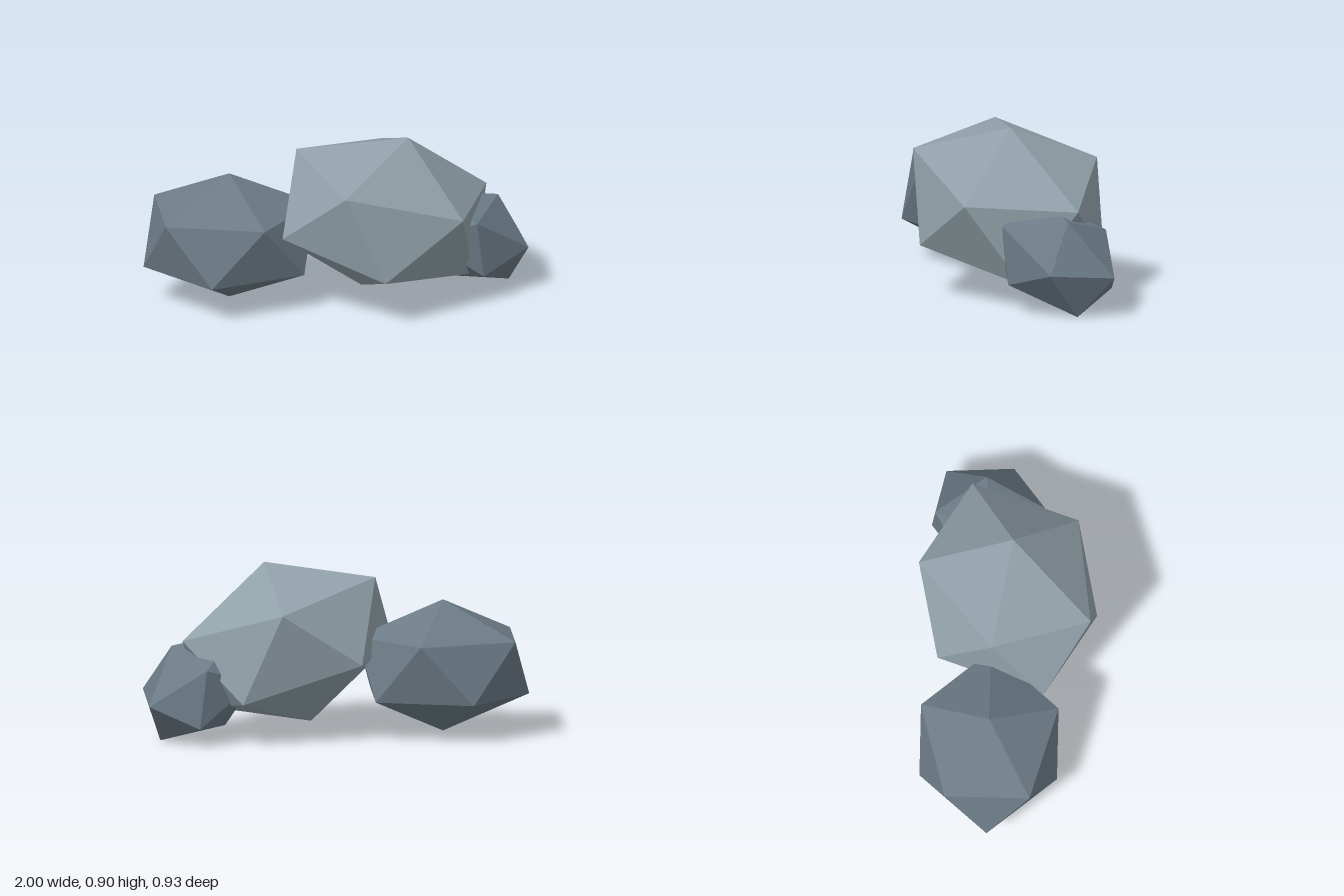
import * as THREE from 'three';

// A low-poly rock: an icosahedron stretched and turned so that its first
// face lands on the corners a, b, c (given relative to the rock's centre).
function rock(name, color, center, a, b, c) {
  const geometry = new THREE.IcosahedronGeometry(1, 0);
  const pos = geometry.attributes.position;
  const corner = (i) => new THREE.Vector3().fromBufferAttribute(pos, i);
  const from = new THREE.Matrix4().makeBasis(corner(0), corner(1), corner(2));
  const to = new THREE.Matrix4().makeBasis(
    new THREE.Vector3(...a), new THREE.Vector3(...b), new THREE.Vector3(...c));
  geometry.applyMatrix4(to.multiply(from.invert()));
  geometry.computeVertexNormals();

  const mesh = new THREE.Mesh(geometry, new THREE.MeshStandardMaterial({ color, flatShading: true }));
  mesh.name = name;
  mesh.position.set(...center);
  return mesh;
}

export function createModel() {
  const group = new THREE.Group();
  group.name = 'rockCluster';

  // Large tilted boulder in the middle
  group.add(rock('mainBoulder', 0x90a0a8, [0.25, 0.485, 0],
    [0.12, 0.415, 0.025], [-0.45, 0.345, -0.07], [-0.26, 0.255, 0.435]));

  // Medium upright rock on the right
  group.add(rock('rightRock', 0x6c7b86, [-0.55, 0.365, -0.075],
    [0, 0.345, 0], [-0.362, 0.154, 0.22], [0.138, 0.154, 0.356]));

  // Small rock leaning on the left
  group.add(rock('leftRock', 0x6c7b86, [0.72, 0.28, -0.115],
    [0.28, -0.035, 0.125], [0.27, -0.07, -0.225], [0.14, 0.213, -0.015]));

  return group;
}
